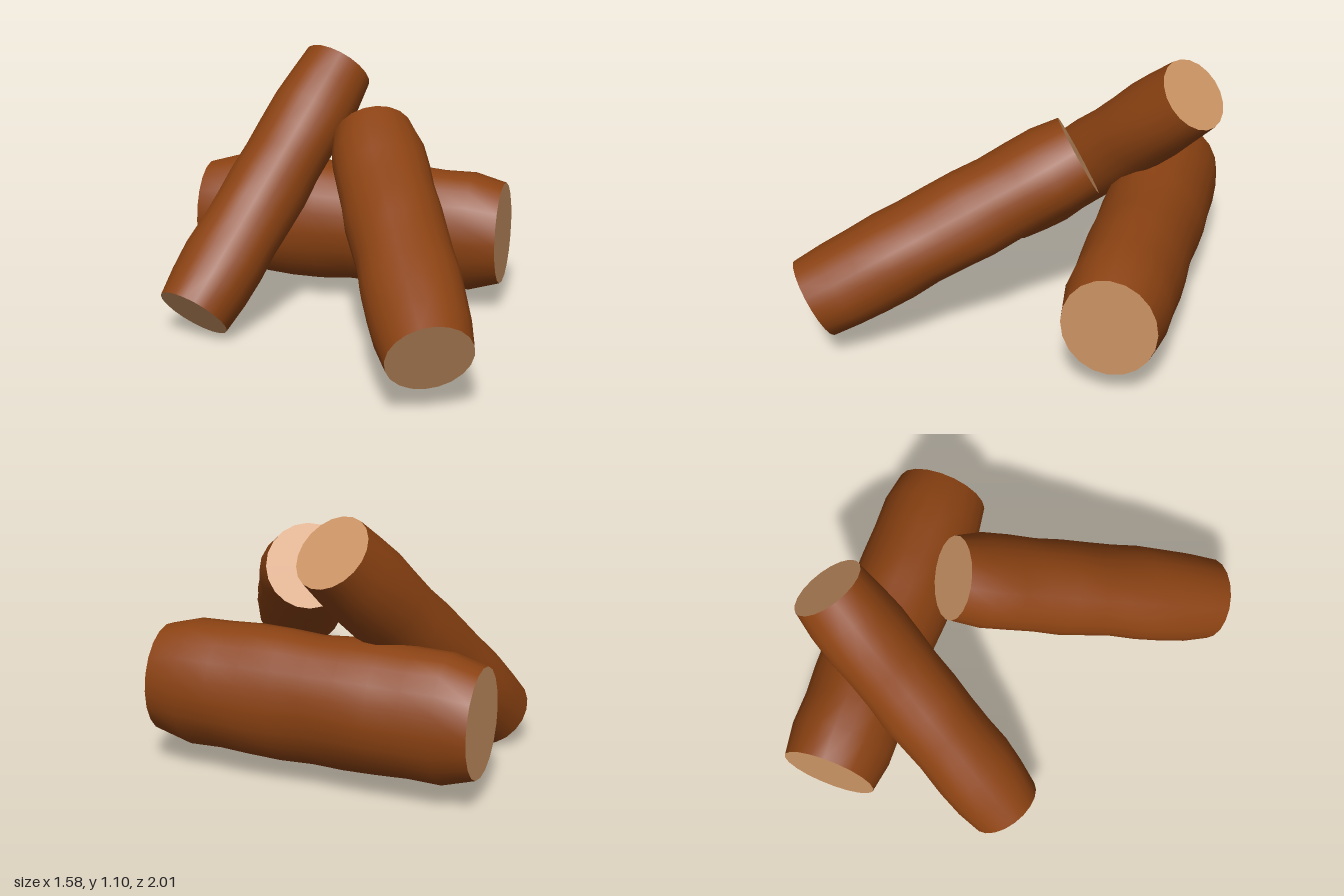
import * as THREE from 'three';
import { mergeVertices } from 'three/addons/utils/BufferGeometryUtils.js';

const SIDES = 20, RINGS = 10;

// One log from point a to point b. end and mid are [sideways, upward] radii.
function makeLog(name, a, b, end, mid, phase, bark, wood) {
  const start = new THREE.Vector3(...a), finish = new THREE.Vector3(...b);
  const axis = finish.clone().sub(start);
  const length = axis.length();
  axis.normalize();
  const side = axis.clone().cross(new THREE.Vector3(0, 1, 0)).normalize();
  const up = side.clone().cross(axis);

  const log = new THREE.Group();
  log.name = name;
  log.quaternion.setFromRotationMatrix(new THREE.Matrix4().makeBasis(side, axis, up));
  log.position.copy(start).add(finish).multiplyScalar(0.5);

  // Bark: narrow at the sawn ends, uneven in between
  let tube = new THREE.CylinderGeometry(1, 1, length, SIDES, RINGS, true);
  tube.deleteAttribute('uv');
  tube.deleteAttribute('normal');
  tube = mergeVertices(tube, 1e-4);
  const p = tube.attributes.position;
  for (let i = 0; i < p.count; i++) {
    const ring = Math.round((p.getY(i) / length + 0.5) * RINGS);
    const swell = Math.min(1, Math.min(ring, RINGS - ring) * 0.85);
    const angle = Math.atan2(p.getZ(i), p.getX(i));
    const ripple = 1 + swell * (0.018 * Math.sin(ring * 2.1 + phase)
      + 0.012 * Math.sin(angle * 3 + ring * 1.3 + phase));
    p.setX(i, p.getX(i) * THREE.MathUtils.lerp(end[0], mid[0], swell) * ripple);
    p.setZ(i, p.getZ(i) * THREE.MathUtils.lerp(end[1], mid[1], swell) * ripple);
  }
  tube.computeVertexNormals();
  const barkMesh = new THREE.Mesh(tube, bark);
  barkMesh.name = 'bark';
  log.add(barkMesh);

  // Sawn faces
  for (const s of [-1, 1]) {
    const face = new THREE.CircleGeometry(1, SIDES);
    face.rotateX(-s * Math.PI / 2);
    face.scale(end[0], 1, end[1]);
    face.translate(0, s * length / 2, 0);
    face.computeVertexNormals();
    const cut = new THREE.Mesh(face, wood);
    cut.name = s > 0 ? 'upperSawnFace' : 'lowerSawnFace';
    log.add(cut);
  }
  return log;
}

export function createModel() {
  const bark = new THREE.MeshStandardMaterial({ color: 0x8b4212 });
  bark.name = 'bark brown';
  const wood = new THREE.MeshStandardMaterial({ color: 0xcd9565 });
  wood.name = 'cut wood tan';

  const model = new THREE.Group();
  model.name = 'logPile';
  model.add(
    makeLog('lyingLog', [-0.355, 0.34, -0.85], [0.665, 0.34, 0], [0.195, 0.22], [0.217, 0.263], 0.5, bark, wood),
    makeLog('frontLeaningLog', [-0.15, 0.25, 0.925], [0.11, 0.795, -0.135], [0.171, 0.173], [0.196, 0.182], 2, bark, wood),
    makeLog('backLeaningLog', [-0.675, 0.116, -0.2], [0.165, 0.988, -0.625], [0.156, 0.157], [0.176, 0.17], 4, bark, wood)
  );
  return model;
}
